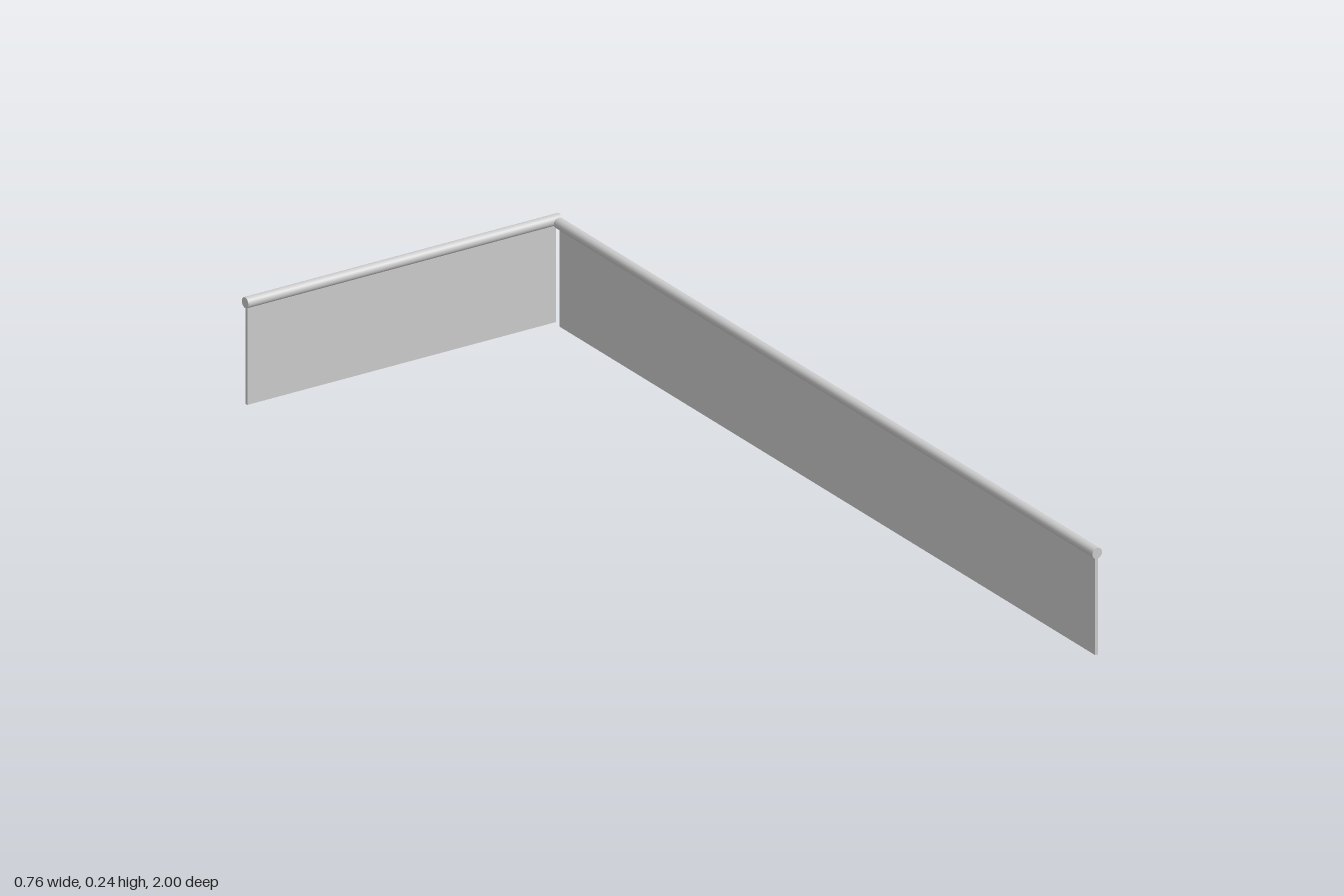
import * as THREE from 'three';

const RAIL_RADIUS = 0.0118;
const RAIL_Y = 0.225;
const PANEL_THICKNESS = 0.007;

export function createModel() {
  const model = new THREE.Group();
  model.name = 'cornerBarrier';
  const material = new THREE.MeshStandardMaterial({ color: 0xcccccc });

  // A thin upright panel with a round handrail on top, running along local x
  function barrier(name, railFrom, railTo, panelFrom, panelTo) {
    const group = new THREE.Group();
    group.name = name;

    const railGeometry = new THREE.CylinderGeometry(RAIL_RADIUS, RAIL_RADIUS, railTo - railFrom, 32);
    railGeometry.rotateZ(Math.PI / 2);
    const rail = new THREE.Mesh(railGeometry, material);
    rail.name = 'handrail';
    rail.position.set((railFrom + railTo) / 2, RAIL_Y, 0);

    // The panel's top edge is let into the handrail
    const panel = new THREE.Mesh(
      new THREE.BoxGeometry(panelTo - panelFrom, RAIL_Y, PANEL_THICKNESS), material);
    panel.name = 'panel';
    panel.position.set((panelFrom + panelTo) / 2, RAIL_Y / 2, 0);

    group.add(rail, panel);
    model.add(group);
    return group;
  }

  // Short run across the back
  const back = barrier('backBarrier', -0.38, 0.38, -0.377, 0.37);
  back.position.z = -0.988;

  // Long run down the left side, with a small gap at the corner
  const side = barrier('sideBarrier', -1, 0.97, -0.998, 0.962);
  side.rotation.y = Math.PI / 2;
  side.position.x = 0.367;

  return model;
}
